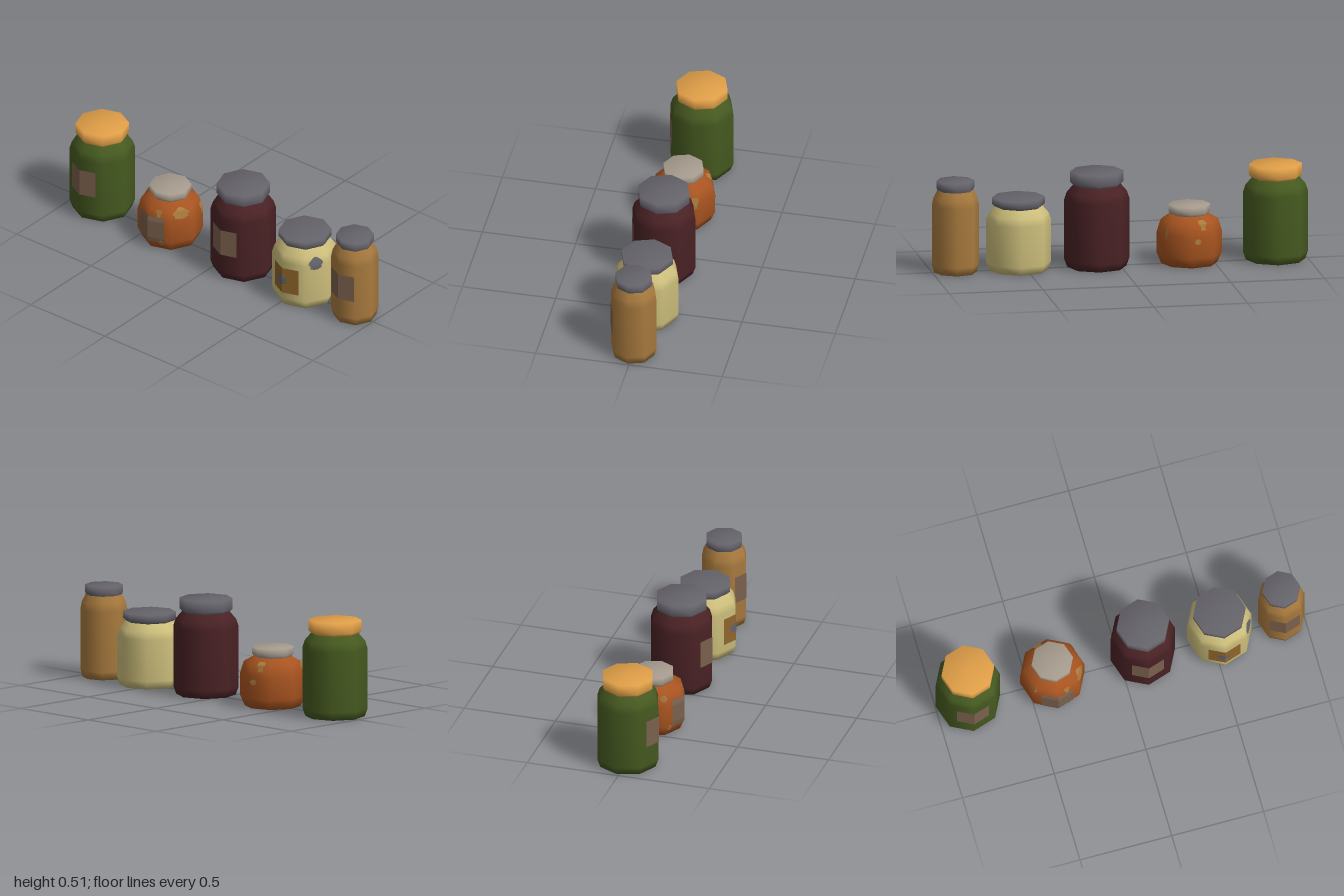
import * as THREE from 'three';

const SIDES = 8, TURN = -0.08; // octagonal jars, turned slightly so a corner faces front

function mat(name, color, side = THREE.FrontSide) {
  const m = new THREE.MeshStandardMaterial({ color, side });
  m.name = name;
  return m;
}

// Lathe profiles: rounded base, straight wall, soft shoulder, neck
function bodyProfile(j) {
  const { r, h, neck } = j;
  if (j.squat) return [[0, 0], [0.148, 0], [r, 0.055], [r, 0.17], [0.152, 0.235], [neck, h]];
  return [[0, 0], [r * 0.91, 0], [r, 0.043], [r, h - 0.08], [r - (r - neck) * 0.27, h - 0.04], [neck, h]];
}

function lathe(points, material, name) {
  const g = new THREE.LatheGeometry(points.map(p => new THREE.Vector2(p[0], p[1])), SIDES, TURN);
  const mesh = new THREE.Mesh(g, material);
  mesh.name = name;
  return mesh;
}

// Point on the octagonal wall of a jar, lifted slightly outwards
function wallPoint(profile, phi, y, lift) {
  let r = profile[profile.length - 1][0];
  for (let i = 1; i < profile.length - 1; i++) {
    const [r0, y0] = profile[i], [r1, y1] = profile[i + 1];
    if (y >= y0 && y <= y1) { r = r0 + (r1 - r0) * (y - y0) / (y1 - y0); break; }
  }
  const step = Math.PI * 2 / SIDES;
  const a = ((phi % step) + step) % step - step / 2;
  const d = r * Math.cos(step / 2) / Math.cos(a) + lift;
  return [Math.sin(phi + TURN) * d, y, Math.cos(phi + TURN) * d];
}

// Thin sheet hugging the wall; widths scales each row, for ragged outlines
function sheet(profile, phi, half, y0, y1, material, name, lift = 0.003, widths = [1, 1, 1, 1, 1, 1, 1]) {
  const cols = 8, rows = widths.length - 1, pos = [], idx = [];
  for (let i = 0; i <= rows; i++)
    for (let k = 0; k <= cols; k++)
      pos.push(...wallPoint(profile, phi + half * widths[i] * (k / cols * 2 - 1), y0 + (y1 - y0) * i / rows, lift));
  for (let i = 0; i < rows; i++)
    for (let k = 0; k < cols; k++) {
      const a = i * (cols + 1) + k, b = a + cols + 1;
      idx.push(a, a + 1, b + 1, a, b + 1, b);
    }
  let g = new THREE.BufferGeometry();
  g.setAttribute('position', new THREE.Float32BufferAttribute(pos, 3));
  g.setIndex(idx);
  g = g.toNonIndexed();
  g.computeVertexNormals();
  const mesh = new THREE.Mesh(g, material);
  mesh.name = name;
  return mesh;
}

export function createModel() {
  const D = THREE.DoubleSide;
  const m = {
    green: mat('pickle green', 0x465a20),
    orange: mat('marmalade orange', 0xa85420),
    maroon: mat('dark maroon', 0x4a2225),
    pale: mat('pale yellow', 0xcdbf7c),
    amber: mat('amber brown', 0xa87a3e, D),
    gold: mat('gold lid', 0xdf9e47),
    beige: mat('beige lid', 0xa59b8d),
    steel: mat('steel grey', 0x65636a, D),
    paper: mat('brown paper', 0x7a604c, D),
    tan: mat('tan paper', 0x8f6529, D),
  };
  const jars = [
    { name: 'greenJar', x: -0.83, r: 0.172, h: 0.442, neck: 0.125, lidR: 0.14, top: 0.513, body: m.green, lid: m.gold, label: m.paper, ly: 0.15, half: 0.55 },
    { name: 'orangeJar', x: -0.37, r: 0.172, h: 0.265, neck: 0.1, lidR: 0.11, top: 0.315, body: m.orange, lid: m.beige, label: m.paper, ly: 0.045, half: 0.55, squat: true },
    { name: 'maroonJar', x: 0.123, r: 0.172, h: 0.442, neck: 0.125, lidR: 0.14, top: 0.513, body: m.maroon, lid: m.steel, label: m.paper, ly: 0.15, half: 0.55 },
    { name: 'paleJar', x: 0.54, r: 0.172, h: 0.342, neck: 0.125, lidR: 0.14, top: 0.39, body: m.pale, lid: m.steel, label: m.tan, ly: 0.08, half: 0.55 },
    { name: 'amberJar', x: 0.877, r: 0.124, h: 0.442, neck: 0.095, lidR: 0.1, top: 0.492, body: m.amber, lid: m.steel, label: m.paper, ly: 0.15, half: 0.72 },
  ];
  // Ragged row widths for stains
  const blob = [0.25, 0.8, 0.7, 1, 0.9, 0.6, 0.2], drip = [0.5, 0.6, 0.5, 0.7, 1, 1, 0.8];

  const group = new THREE.Group();
  group.name = 'jarRow';
  for (const j of jars) {
    const jar = new THREE.Group();
    jar.name = j.name;
    jar.position.x = j.x;
    const p = bodyProfile(j);
    jar.add(lathe(p, j.body, 'jarBody'));
    jar.add(lathe([[j.neck, j.h - 0.001], [j.lidR, j.h + 0.013], [j.lidR, j.top], [0, j.top]], j.lid, 'lid'));
    jar.add(sheet(p, 0, j.half, j.ly, j.ly + 0.15, j.label, 'label'));

    // Grey stains on the pale jar: one on the label, one on the side
    if (j.name === 'paleJar') {
      jar.add(sheet(p, -0.06, 0.24, 0.13, 0.185, m.steel, 'labelStain', 0.006, blob));
      jar.add(sheet(p, 1.13, 0.26, 0.235, 0.305, m.steel, 'sideStain', 0.003, blob));
    }
    // Drips and splashes around the orange jar
    if (j.squat) {
      const splashes = [
        [1.15, 0.32, 0.19, 0.245, blob], [0.35, 0.12, 0.195, 0.235, drip], [-0.85, 0.13, 0.2, 0.235, blob],
        [-0.65, 0.12, 0.03, 0.06, blob], [0.45, 0.1, 0.03, 0.06, blob], [2.25, 0.1, 0.15, 0.215, drip],
        [-2.72, 0.16, 0.2, 0.25, drip], [-2.95, 0.12, 0.13, 0.16, blob],
      ];
      for (const [phi, half, y0, y1, w] of splashes)
        jar.add(sheet(p, phi, half, y0, y1, m.amber, 'splash', 0.003, w));
    }
    group.add(jar);
  }
  return group;
}
